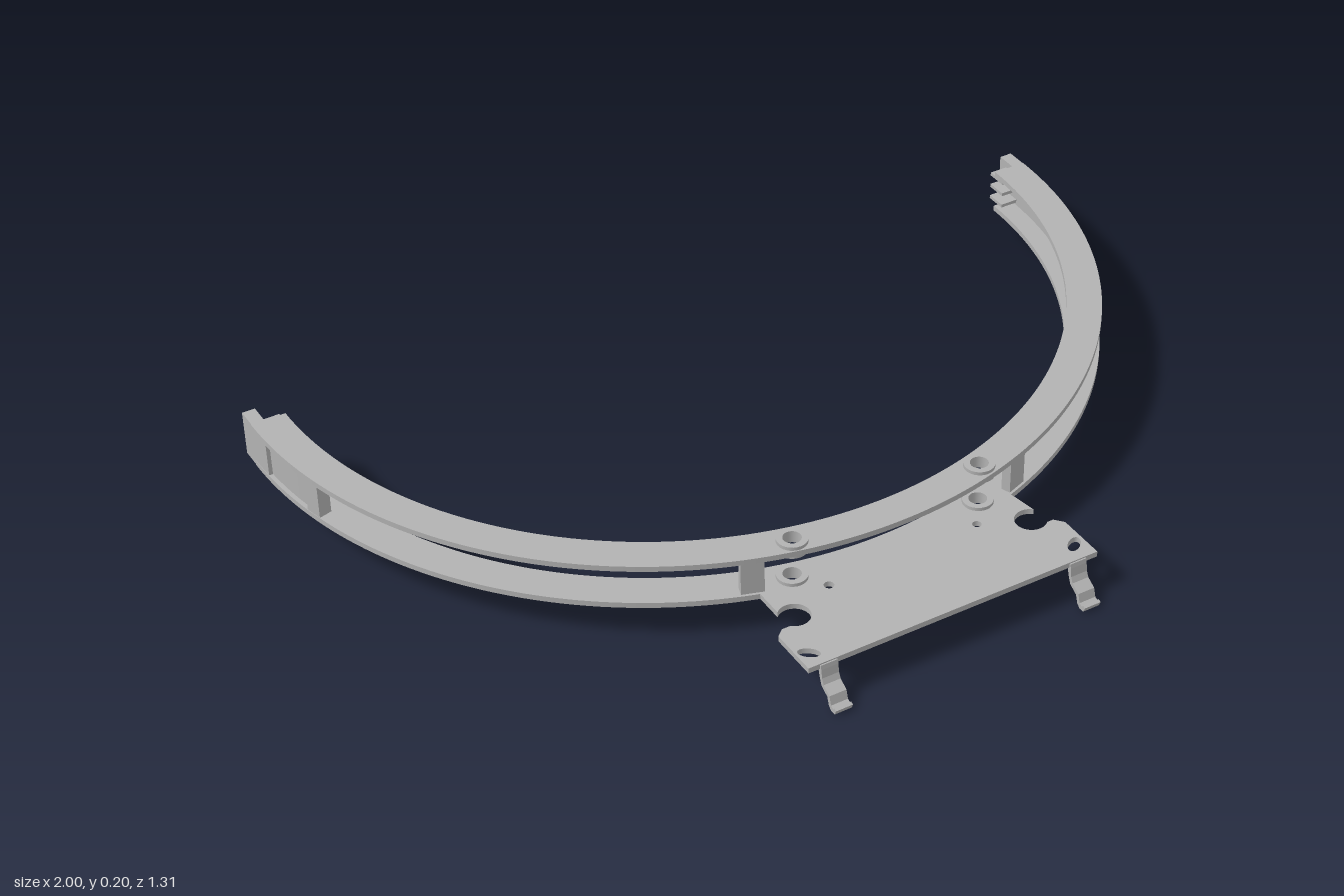
import * as THREE from 'three';

const CZ = -0.605; // centre of the arc in z
const LOW = 0.08, HIGH = 0.175, T = 0.013; // plate heights and thickness
const EYELETS = [[-0.22, 0.333], [0.245, 0.325]];

export function createModel() {
  const model = new THREE.Group();
  const steel = new THREE.MeshStandardMaterial({ color: 0xb2b2b2 });
  steel.name = 'grey steel';

  const add = (name, geometry, x = 0, y = 0, z = 0) => {
    const mesh = new THREE.Mesh(geometry, steel);
    mesh.name = name;
    mesh.position.set(x, y, z);
    model.add(mesh);
    return mesh;
  };
  // Lays a shape drawn in (x, -z) flat, with its underside at y
  const flat = (name, shape, y, height) => {
    const g = new THREE.ExtrudeGeometry(shape, { depth: height, bevelEnabled: false, curveSegments: 64 });
    g.rotateX(-Math.PI / 2);
    return add(name, g, 0, y, 0);
  };
  const arcBand = (r0, r1, a0, a1) => {
    const s = new THREE.Shape();
    s.absarc(0, -CZ, r1, a0, a1, false);
    s.absarc(0, -CZ, r0, a1, a0, true);
    return s;
  };
  const hole = (x, z, rx, rz = rx, turn = 0) => {
    const p = new THREE.Path();
    p.absellipse(x, -z, rx, rz, 0, Math.PI * 2, true, turn);
    return p;
  };

  // Two half rings
  for (const [name, y] of [['lowerRing', LOW], ['upperRing', HIGH]]) {
    const ring = arcBand(0.92, 1, Math.PI, Math.PI * 2);
    for (const [x, z] of EYELETS) ring.holes.push(hole(x, z, 0.022));
    flat(name, ring, y, T);
  }

  // Flanged eyelets through both rings
  const profile = [[0.02, 0], [0.034, 0], [0.034, 0.008], [0.023, 0.008], [0.023, 0.021],
    [0.034, 0.021], [0.034, 0.029], [0.02, 0.029], [0.02, 0]];
  const eyelet = new THREE.LatheGeometry(
    profile.flatMap(([r, y], i) => {
      const p = new THREE.Vector2(r, y);
      return i > 0 && i < profile.length - 1 ? [p, p.clone()] : [p]; // doubled points keep edges sharp
    }), 28);
  for (const [x, z] of EYELETS)
    for (const y of [LOW, HIGH]) add('eyelet', eyelet, x, y - 0.008, z);

  // Spacer posts between the rings
  for (const a of [-0.324, 0.352]) {
    const r = 0.983;
    const post = add('spacerPost', new THREE.BoxGeometry(0.05, HIGH - LOW - T, 0.022),
      r * Math.sin(a), (HIGH + LOW + T) / 2, CZ + r * Math.cos(a));
    post.rotation.y = a;
  }

  // Mounting plate with side notches, slots and pin holes
  const plate = new THREE.Shape();
  const q = Math.PI / 4, down = Math.PI * 1.5;
  plate.moveTo(-0.305, -0.347);
  plate.lineTo(-0.305, -0.415);
  plate.absarc(-0.28, -0.44, 0.035, 3 * q, -3 * q, true);
  plate.lineTo(-0.325, -0.465);
  plate.lineTo(-0.342, -0.48);
  plate.lineTo(-0.342, -0.595);
  plate.lineTo(0.362, -0.595);
  plate.lineTo(0.362, -0.48);
  plate.lineTo(0.345, -0.46);
  plate.absarc(0.305, -0.435, 0.035, -q, q, true);
  plate.lineTo(0.318, -0.343);
  plate.absarc(0, -CZ, 0.999, down + 0.323, down - 0.31, true);
  plate.holes.push(
    hole(-0.17, 0.396, 0.011), hole(0.2, 0.389, 0.01),
    hole(-0.316, 0.555, 0.024, 0.013, -0.7), hole(0.335, 0.55, 0.024, 0.013, 0.7));
  flat('mountingPlate', plate, LOW, T);

  // Bent hooks hanging from the front edge
  const hook = new THREE.Shape([
    [0.588, 0.09], [0.598, 0.09], [0.6, 0.08], [0.603, 0.06], [0.609, 0.047], [0.631, 0.034],
    [0.637, 0.014], [0.646, 0.01], [0.649, 0.016], [0.656, 0.013], [0.651, 0.001], [0.638, 0],
    [0.629, 0.008], [0.623, 0.027], [0.601, 0.04], [0.594, 0.058], [0.588, 0.08],
  ].map(([z, y]) => new THREE.Vector2(-z, y)));
  const hookGeometry = new THREE.ExtrudeGeometry(hook, { depth: 0.04, bevelEnabled: false });
  hookGeometry.rotateY(Math.PI / 2);
  for (const x of [-0.295, 0.312]) add('hook', hookGeometry, x - 0.02, 0, 0);

  // End walls with a recessed panel, a tongue and three teeth, on both sides
  const H = HIGH + T - LOW, inner = HIGH - LOW - T;
  for (const side of [-1, 1]) {
    const wall = (name, r0, r1, a, b) => {
      const [a0, a1] = side > 0 ? [-a, -b] : [Math.PI + b, Math.PI + a];
      flat(name, arcBand(r0, r1, a0, a1), LOW + T, inner);
    };
    wall('endWall', 0.968, 0.999, 0.258, 0.217);
    wall('recessedPanel', 0.968, 0.99, 0.217, 0.065);
    wall('endWall', 0.968, 0.999, 0.065, 0);
    add('endTongue', new THREE.BoxGeometry(0.03, H, 0.05), side * 0.984, LOW + H / 2, -0.63);
    for (const y of [0.104, 0.136, 0.168])
      add('tooth', new THREE.BoxGeometry(0.046, 0.008, 0.05), side * 0.948, y, -0.605);
  }
  return model;
}
